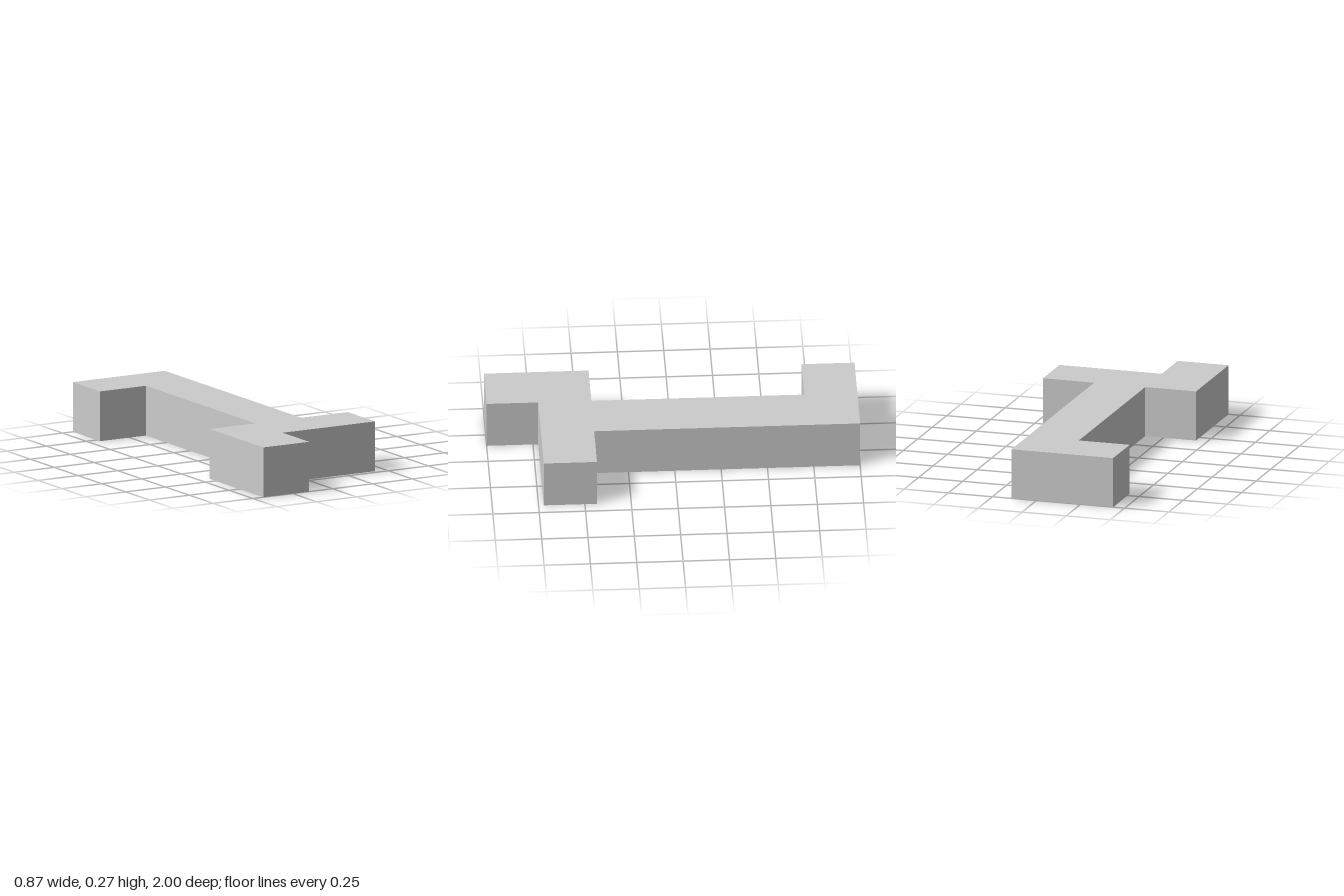
import * as THREE from 'three';

export function createModel() {
  const group = new THREE.Group();
  group.name = 'blockBar';
  const material = new THREE.MeshStandardMaterial({ color: 0xcccccc, flatShading: true });

  // Plan outline as [x, z]: long spine, hook at the back, crossbar and foot at the front
  const outline = [
    [-0.435, 1], [-0.147, 1], [-0.147, 0.722], [0.433, 0.722],
    [0.433, 0.435], [0.142, 0.435], [0.142, -1], [-0.435, -1],
    [-0.435, -0.714], [-0.147, -0.714], [-0.147, 0.435], [-0.435, 0.435],
  ];
  const shape = new THREE.Shape(outline.map(([x, z]) => new THREE.Vector2(x, -z)));

  // Raise the plan into a solid standing on the ground
  const geometry = new THREE.ExtrudeGeometry(shape, { depth: 0.274, bevelEnabled: false });
  geometry.rotateX(-Math.PI / 2);

  const body = new THREE.Mesh(geometry, material);
  body.name = 'hookedBarBody';
  group.add(body);
  return group;
}
